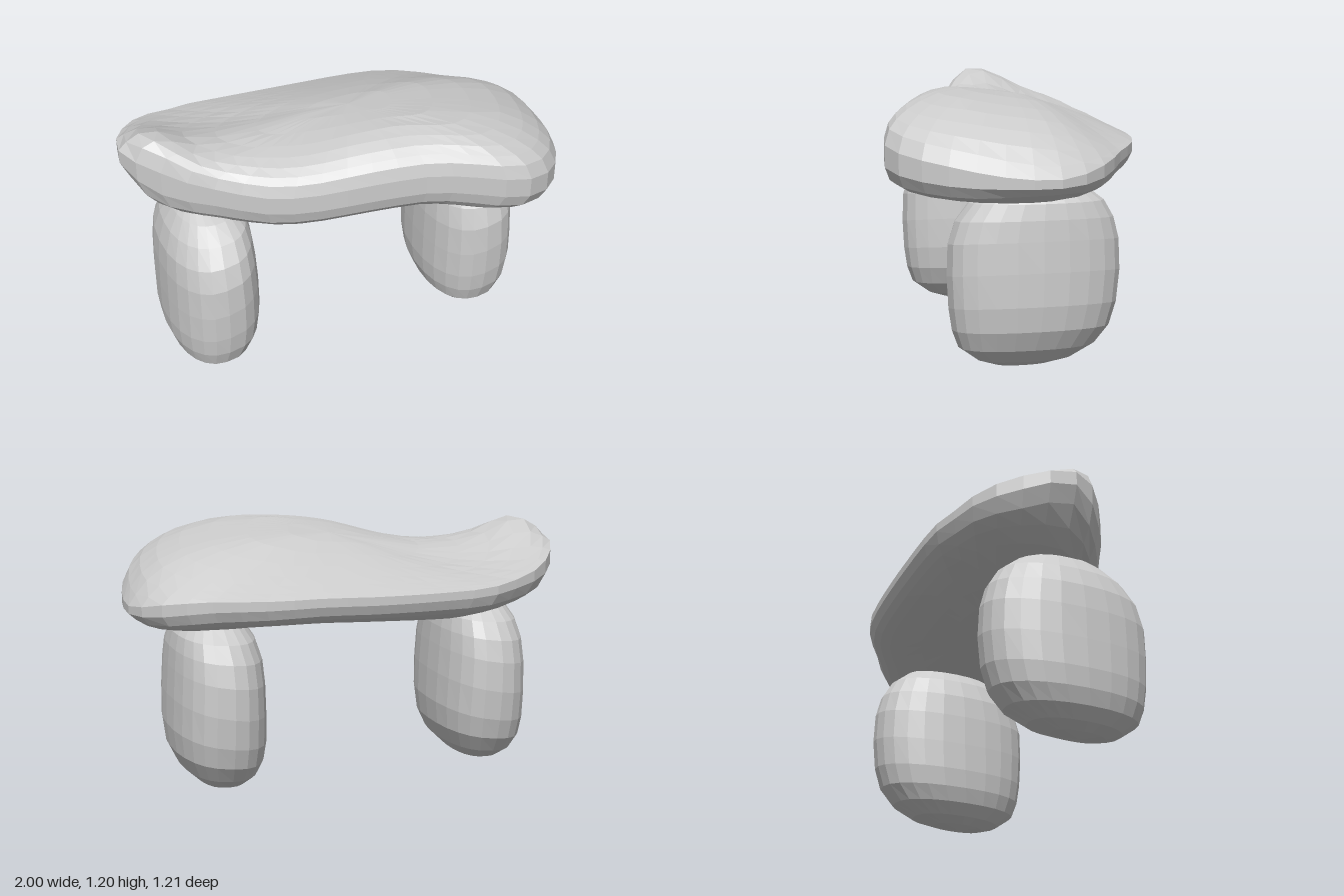
import * as THREE from 'three';

const stone = new THREE.MeshStandardMaterial({ color: 0xcccccc, flatShading: true });

// Skin closed rings stacked from bottom to top; the first and last ring are points.
function loft(name, rings) {
  const n = rings[0].length, index = [];
  for (let i = 0; i < rings.length - 1; i++) {
    for (let j = 0; j < n; j++) {
      const k = (j + 1) % n;
      const a = i * n + j, b = i * n + k, c = a + n, d = b + n;
      if (i < rings.length - 2) index.push(a, c, d);
      if (i > 0) index.push(a, d, b);
    }
  }
  const flat = rings.flat().flatMap((p) => [p.x, p.y, p.z]);
  let geo = new THREE.BufferGeometry();
  geo.setAttribute('position', new THREE.Float32BufferAttribute(flat, 3));
  geo.setIndex(index);
  geo = geo.toNonIndexed();
  geo.computeVertexNormals();
  const mesh = new THREE.Mesh(geo, stone);
  mesh.name = name;
  return mesh;
}

// Smooth interpolation of rows [key, value, value...] at a key.
function sample(rows, key, col) {
  let i = 0;
  while (i < rows.length - 2 && key > rows[i + 1][0]) i++;
  const at = (k) => rows[Math.min(Math.max(k, 0), rows.length - 1)];
  const p = at(i), q = at(i + 1), h = q[0] - p[0];
  const t = THREE.MathUtils.clamp((key - p[0]) / h, 0, 1);
  const slope = (a, b) => (b[col] - a[col]) / (b[0] - a[0]);
  const m0 = slope(at(i - 1), q) * h, m1 = slope(p, at(i + 2)) * h;
  const t2 = t * t, t3 = t2 * t;
  return (2 * t3 - 3 * t2 + 1) * p[col] + (t3 - 2 * t2 + t) * m0 +
    (3 * t2 - 2 * t3) * q[col] + (t3 - t2) * m1;
}

// Plan of the slab as x, z pairs: left end, back edge, right end, front edge.
const plan = [
  [-1, -0.14], [-0.97, -0.29], [-0.9, -0.4], [-0.81, -0.5], [-0.68, -0.555], [-0.55, -0.6],
  [-0.2, -0.605], [0.2, -0.58], [0.45, -0.545], [0.6, -0.475], [0.72, -0.4], [0.82, -0.345],
  [0.92, -0.26], [0.99, -0.13], [1, 0], [0.97, 0.2], [0.92, 0.35], [0.83, 0.5], [0.73, 0.58],
  [0.65, 0.6], [0.54, 0.585], [0.4, 0.53], [0.25, 0.475], [0, 0.42], [-0.2, 0.36],
  [-0.4, 0.28], [-0.6, 0.17], [-0.8, 0.08], [-0.93, -0.02], [-0.985, -0.08],
];

// Wave of the slab along x: x, bottom, middle, top, middle at the back edge.
const wave = [
  [-1, 0.93, 1.06, 1.3, 1.06], [-0.9, 0.76, 1.0, 1.34, 1.02], [-0.7, 0.73, 0.955, 1.165, 0.975],
  [-0.5, 0.71, 0.92, 1.105, 0.95], [-0.3, 0.73, 0.93, 1.115, 0.945], [0, 0.785, 0.98, 1.185, 0.945],
  [0.3, 0.8, 0.995, 1.205, 0.95], [0.6, 0.755, 0.965, 1.18, 0.935], [0.8, 0.725, 0.93, 1.14, 0.915],
  [0.92, 0.72, 0.9, 1.08, 0.895], [1, 0.78, 0.87, 0.97, 0.87],
];

function slab() {
  const { clamp, lerp, smoothstep } = THREE.MathUtils;
  const center = new THREE.Vector2(0.05, -0.05);
  const edge = new THREE.CatmullRomCurve3(plan.map(([x, z]) => new THREE.Vector3(x, 0, z)), true);
  const outline = edge.getSpacedPoints(44).slice(0, 44);
  const radii = [0, 0.2, 0.4, 0.58, 0.72, 0.83, 0.91, 0.965, 1];

  const ring = (r, up) => outline.map((p) => {
    const x = center.x + (p.x - center.x) * r;
    const z = center.y + (p.z - center.y) * r;
    // Full and round towards the front, a long slope on top to a thin rim at the back
    const front = smoothstep(p.z, -0.55, 0.05);
    const power = up ? 1.6 + 2.4 * front : 3 + front;
    const bulge = Math.pow(1 - Math.pow(r, power), up ? 1 - 0.5 * front : 0.5);
    const rim = lerp(0.13, 0.22, front);
    const f = rim + (1 - rim) * bulge;
    const back = clamp((0.25 - z) / 0.85, 0, 1);
    const mid = sample(wave, x, 2);
    const tilted = lerp(mid, sample(wave, x, 4), back);
    const height = (sample(wave, x, up ? 3 : 1) - mid) * (1 - (up ? 0.32 : 0.2) * back);
    return new THREE.Vector3(x, tilted + height * f, z);
  });

  return loft('slab', [
    ...radii.map((r) => ring(r, false)),
    ...radii.slice().reverse().map((r) => ring(r, true)),
  ]);
}

// Leg sections: y, x min, x max, z back, z front, measured from the leg's middle.
const sections = [
  [0, -0.03, -0.03, 0, 0], [0.012, -0.09, 0.03, -0.13, 0.12], [0.04, -0.14, 0.09, -0.23, 0.2],
  [0.1, -0.185, 0.16, -0.325, 0.28], [0.18, -0.21, 0.205, -0.385, 0.31],
  [0.28, -0.22, 0.22, -0.415, 0.325], [0.42, -0.219, 0.217, -0.43, 0.332],
  [0.56, -0.215, 0.208, -0.425, 0.327], [0.66, -0.205, 0.2, -0.4, 0.295],
  [0.74, -0.175, 0.185, -0.355, 0.235], [0.8, -0.13, 0.145, -0.28, 0.15],
  [0.835, -0.09, 0.07, -0.19, 0.06], [0.85, -0.04, -0.04, -0.07, -0.07],
];

// Oval boulder leg, flatter on its left face, with slanting courses of facets
function leg(name, x) {
  const rings = sections.map(([y, x0, x1, z0, z1]) => Array.from({ length: 24 }, (_, j) => {
    const a = (j / 24) * Math.PI * 2;
    const c = Math.cos(a), s = Math.sin(a);
    const dx = Math.sign(c) * Math.pow(Math.abs(c), c > 0 ? 0.75 : 0.9) * (x1 - x0) / 2;
    const dz = Math.sign(s) * Math.pow(Math.abs(s), 0.9) * (z1 - z0) / 2;
    const slant = 0.2 * dx * Math.sin(Math.PI * y / 0.85);
    return new THREE.Vector3((x0 + x1) / 2 + dx, y + slant, (z0 + z1) / 2 + dz);
  }));
  const mesh = loft(name, rings);
  mesh.position.x = x;
  return mesh;
}

export function createModel() {
  const group = new THREE.Group();
  group.name = 'stoneBench';
  group.add(slab(), leg('leftLeg', 0.615), leg('rightLeg', -0.67));
  return group;
}
